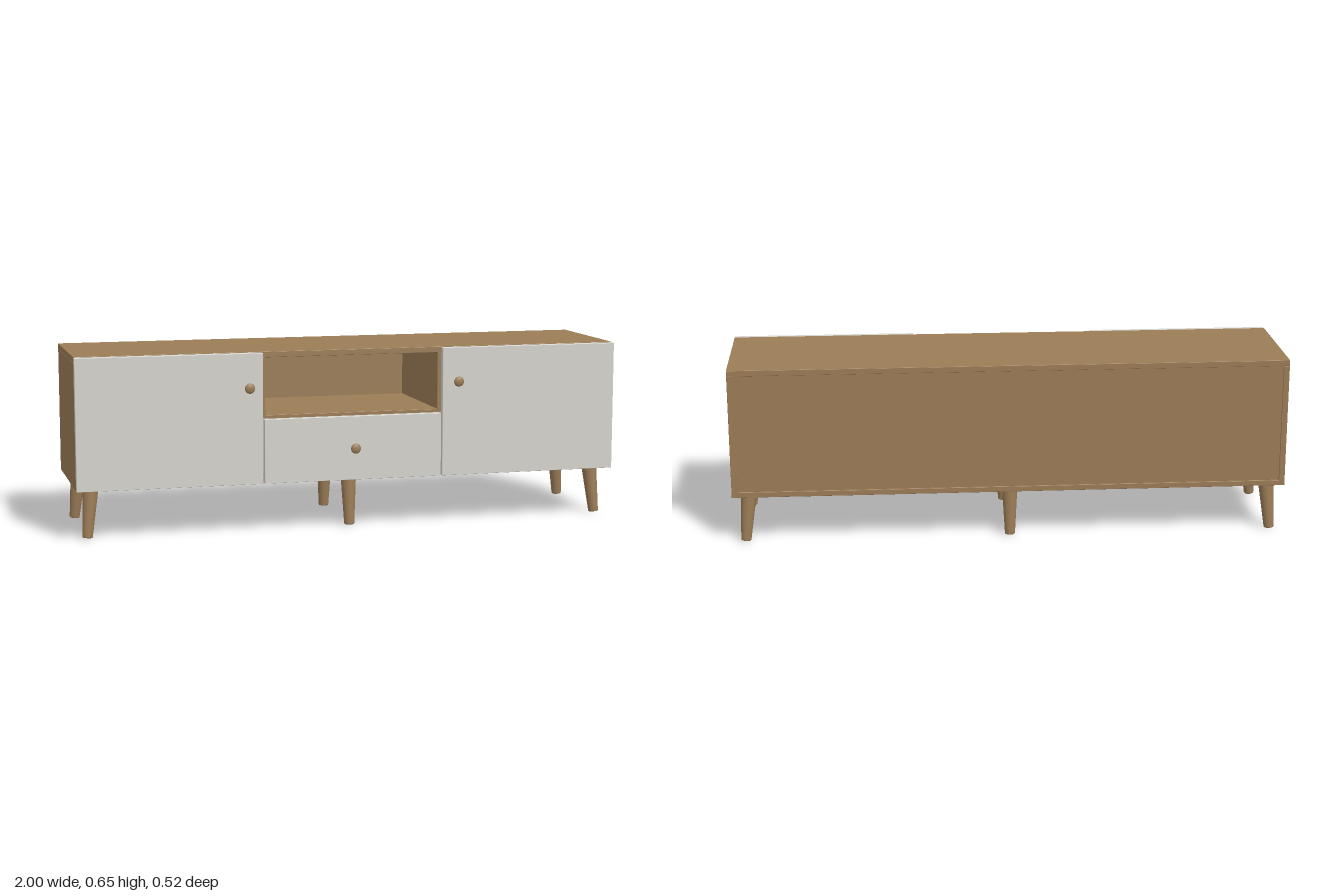
import * as THREE from 'three';
import { RoundedBoxGeometry } from 'three/addons/geometries/RoundedBoxGeometry.js';

export function createModel() {
  const model = new THREE.Group();
  model.name = 'mediaConsole';

  const wood = new THREE.MeshStandardMaterial({ color: 0x9b7c56 });
  wood.name = 'oak wood';
  const paint = new THREE.MeshStandardMaterial({ color: 0xd4d3cc });
  paint.name = 'off-white paint';

  // Board given by its extents, with tiny eased edges
  function board(name, material, [x0, x1], [y0, y1], [z0, z1]) {
    const geometry = new RoundedBoxGeometry(x1 - x0, y1 - y0, z1 - z0, 2, 0.0015);
    const mesh = new THREE.Mesh(geometry, material);
    mesh.position.set((x0 + x1) / 2, (y0 + y1) / 2, (z0 + z1) / 2);
    mesh.name = name;
    model.add(mesh);
  }

  // Carcass
  const depth = [-0.26, 0.202];
  board('topPanel', wood, [-1, 1], [0.631, 0.652], depth);
  board('bottomPanel', wood, [-0.98, 0.98], [0.18, 0.2], depth);
  board('backPanel', wood, [-0.981, 0.981], [0.199, 0.632], [-0.254, -0.242]);
  board('nicheShelf', wood, [-0.322, 0.322], [0.404, 0.424], [-0.243, 0.202]);
  for (const s of [-1, 1]) {
    const span = (a, b) => (s > 0 ? [a, b] : [-b, -a]);
    const side = s > 0 ? 'left' : 'right';
    board(side + 'SidePanel', wood, span(0.979, 1), [0.18, 0.631], depth);
    board(side + 'Divider', wood, span(0.321, 0.341), [0.2, 0.631], [-0.243, 0.202]);
    board(side + 'Door', paint, span(0.334, 1), [0.18, 0.65], [0.204, 0.227]);
  }
  board('drawerFront', paint, [-0.329, 0.329], [0.18, 0.412], [0.204, 0.227]);

  // Turned knobs: slim stem flaring into a shallow domed head
  const knobProfile = [
    [0, 0], [0.006, 0], [0.006, 0.012], [0.009, 0.016], [0.016, 0.023],
    [0.0185, 0.027], [0.0175, 0.031], [0.012, 0.034], [0.006, 0.035], [0, 0.0355],
  ].map(([r, h]) => new THREE.Vector2(r, h));
  const knobGeometry = new THREE.LatheGeometry(knobProfile, 28).rotateX(Math.PI / 2);
  for (const [name, x, y] of [
    ['leftDoorKnob', 0.387, 0.528], ['rightDoorKnob', -0.387, 0.528], ['drawerKnob', 0, 0.298],
  ]) {
    const knob = new THREE.Mesh(knobGeometry, wood);
    knob.position.set(x, y, 0.2265);
    knob.name = name;
    model.add(knob);
  }

  // Tapered legs, splayed outwards, with a softened foot
  const legLength = 0.178;
  const legProfile = [
    [0, -legLength], [0.0155, -legLength], [0.0175, -legLength + 0.001],
    [0.0185, -legLength + 0.004], [0.028, -0.003], [0.027, 0], [0, 0],
  ].map(([r, h]) => new THREE.Vector2(r, h));
  const legGeometry = new THREE.LatheGeometry(legProfile, 28);
  const up = new THREE.Vector3(0, 1, 0);
  for (const sx of [-1, 0, 1]) {
    for (const sz of [-1, 1]) {
      const leg = new THREE.Mesh(legGeometry, wood);
      const top = new THREE.Vector3(sx * 0.942, 0.181, sz > 0 ? 0.147 : -0.205);
      const foot = top.clone().add(new THREE.Vector3(sx * 0.016, -legLength, sz * 0.015));
      leg.position.copy(top);
      leg.quaternion.setFromUnitVectors(up, top.clone().sub(foot).normalize());
      leg.name = (sz > 0 ? 'front' : 'back') + ['Right', 'Middle', 'Left'][sx + 1] + 'Leg';
      model.add(leg);
    }
  }
  return model;
}
